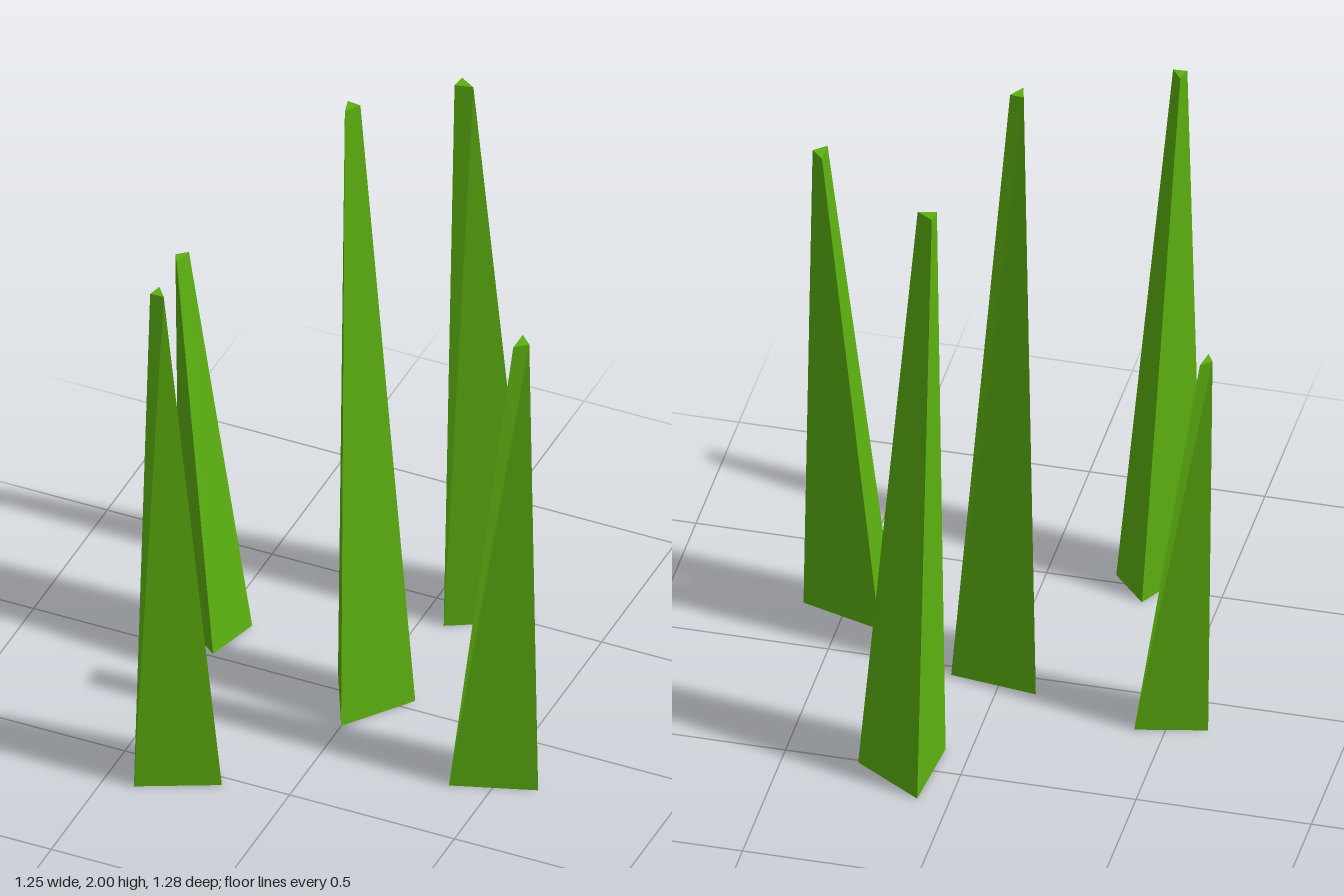
import * as THREE from 'three';

// Each blade: height, base corners [x, z], matching tip corners [x, z]
const BLADES = [
  { name: 'centreBlade', height: 2.0,
    base: [[-0.11, -0.075], [0.14, -0.04], [0, 0.15]],
    tip: [[-0.07, -0.052], [-0.03, -0.048], [-0.058, -0.005]] },
  { name: 'backBlade', height: 1.845,
    base: [[0.09, -0.64], [0.29, -0.51], [0.07, -0.39]],
    tip: [[0.09, -0.47], [0.137, -0.442], [0.085, -0.43]] },
  { name: 'rightBlade', height: 1.25,
    base: [[-0.415, -0.175], [-0.46, -0.01], [-0.615, -0.13]],
    tip: [[-0.597, -0.153], [-0.607, -0.093], [-0.627, -0.128]] },
  { name: 'leftBlade', height: 1.535,
    base: [[0.385, 0.125], [0.385, 0.28], [0.62, 0.2]],
    tip: [[0.56, 0.17], [0.56, 0.235], [0.595, 0.204]] },
  { name: 'frontBlade', height: 1.69,
    base: [[-0.41, 0.64], [-0.29, 0.425], [-0.19, 0.535]],
    tip: [[-0.375, 0.608], [-0.365, 0.567], [-0.335, 0.605]] },
];

// Closed three-sided tapering prism between two triangles
function bladeGeometry({ height, base, tip }) {
  const [a, b, c] = base;
  const area = (b[0] - a[0]) * (c[1] - a[1]) - (b[1] - a[1]) * (c[0] - a[0]);
  // Keep the corners running the same way round so faces point outward
  const order = area > 0 ? [0, 2, 1] : [0, 1, 2];
  const lower = order.map((i) => [base[i][0], 0, base[i][1]]);
  const upper = order.map((i) => [tip[i][0], height, tip[i][1]]);
  const corners = [...upper, lower[0], lower[2], lower[1]];
  for (let i = 0; i < 3; i++) {
    const j = (i + 1) % 3;
    corners.push(lower[i], lower[j], upper[j], lower[i], upper[j], upper[i]);
  }
  const geometry = new THREE.BufferGeometry();
  geometry.setAttribute('position', new THREE.Float32BufferAttribute(corners.flat(), 3));
  geometry.computeVertexNormals();
  return geometry;
}

export function createModel() {
  const group = new THREE.Group();
  group.name = 'grassTuft';
  const green = new THREE.MeshStandardMaterial({ color: 0x5cb010, flatShading: true });
  for (const blade of BLADES) {
    const mesh = new THREE.Mesh(bladeGeometry(blade), green);
    mesh.name = blade.name;
    group.add(mesh);
  }
  return group;
}
